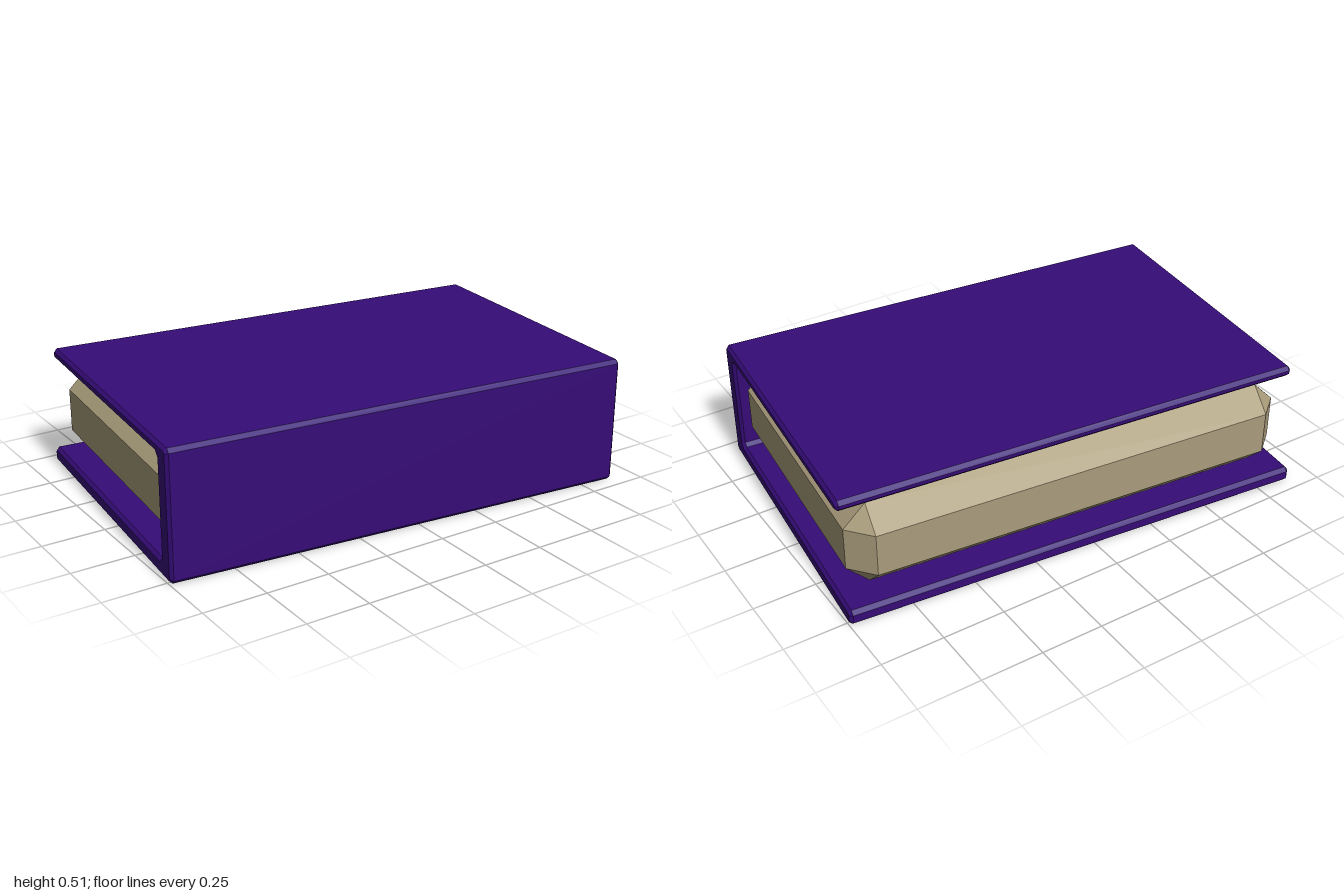
import * as THREE from 'three';
import { ConvexGeometry } from 'three/addons/geometries/ConvexGeometry.js';

// Closed outline with every corner cut by c
function chamferedShape(corners, c) {
  const pts = corners.map(([x, y]) => new THREE.Vector2(x, y));
  const out = [];
  pts.forEach((p, i) => {
    for (const q of [pts.at(i - 1), pts[(i + 1) % pts.length]]) {
      out.push(q.clone().sub(p).setLength(c).add(p));
    }
  });
  return new THREE.Shape(out);
}

// Box with all edges cut by c; each corner becomes a triangle
function chamferedBox(hx, hy, hz, c) {
  const pts = [];
  for (const sx of [-1, 1]) for (const sy of [-1, 1]) for (const sz of [-1, 1]) {
    pts.push(
      new THREE.Vector3(sx * hx, sy * (hy - c), sz * (hz - c)),
      new THREE.Vector3(sx * (hx - c), sy * hy, sz * (hz - c)),
      new THREE.Vector3(sx * (hx - c), sy * (hy - c), sz * hz));
  }
  return new ConvexGeometry(pts);
}

export function createModel() {
  const book = new THREE.Group();
  book.name = 'book';
  const coverMat = new THREE.MeshStandardMaterial({ color: 0x360c78, flatShading: true });
  const pageMat = new THREE.MeshStandardMaterial({ color: 0xaa9d7c, flatShading: true });

  // Cover: C-shaped section (u runs to the back) swept along the spine
  const bevel = 0.012, length = 1.894;
  const section = chamferedShape([
    [-0.617, 0], [0.617, 0], [0.617, 0.063], [-0.533, 0.063],
    [-0.533, 0.463], [0.557, 0.463], [0.557, 0.507], [-0.617, 0.507],
  ], 0.015);
  const coverGeo = new THREE.ExtrudeGeometry(section, {
    depth: length - 2 * bevel, bevelEnabled: true, bevelSegments: 1,
    bevelThickness: bevel, bevelSize: bevel, bevelOffset: -bevel,
  });
  coverGeo.translate(0, 0, bevel - length / 2).rotateY(Math.PI / 2);
  const cover = new THREE.Mesh(coverGeo, coverMat);
  cover.name = 'cover';

  // Page block, its front edge sunk into the spine
  const pages = new THREE.Mesh(chamferedBox(0.908, 0.175, 0.588, 0.088), pageMat);
  pages.name = 'pages';
  pages.position.y = 0.255;

  book.add(cover, pages);
  book.rotation.y = -0.0925;
  const model = new THREE.Group();
  model.add(book);
  return model;
}
